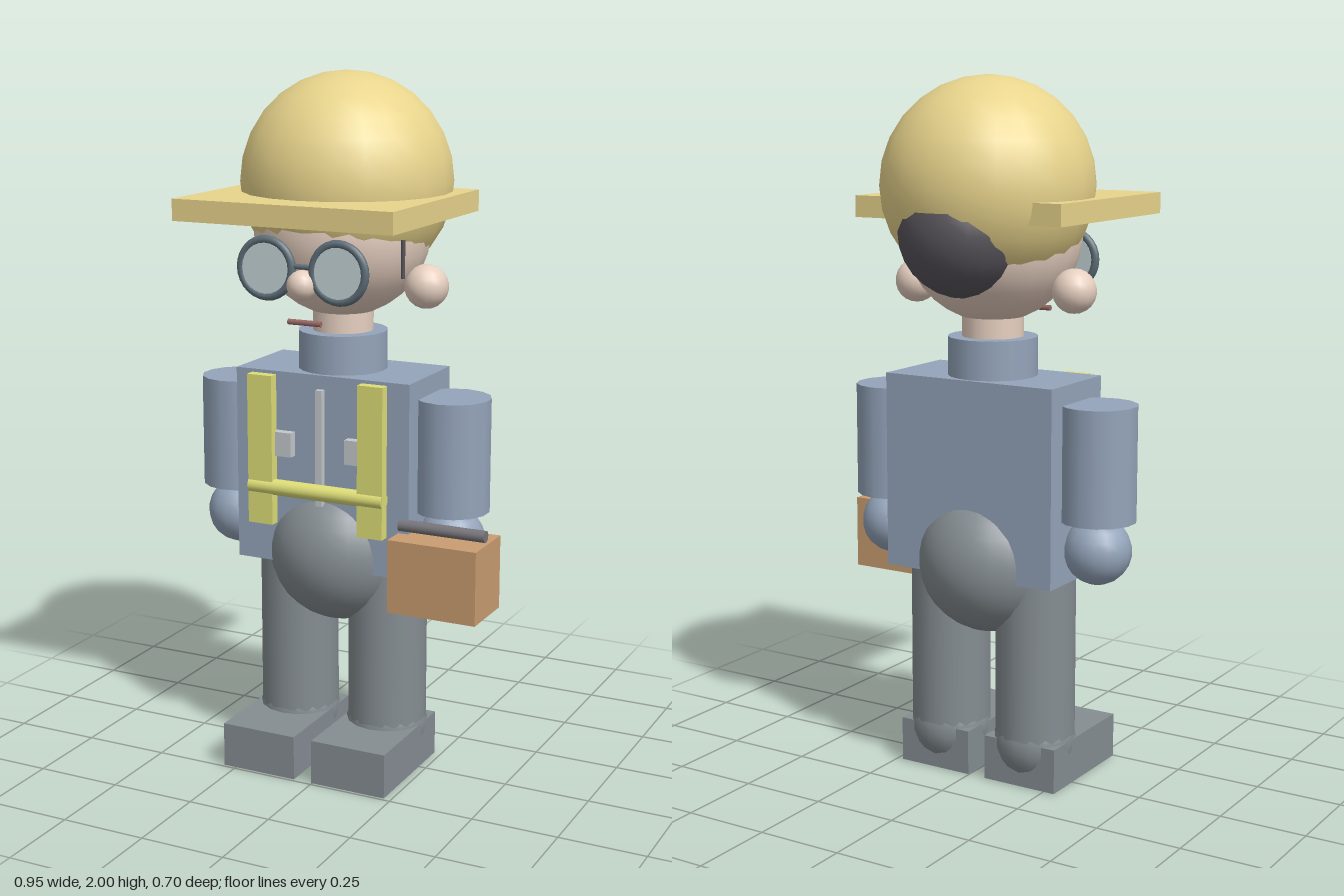
import * as THREE from 'three';

const CX = -0.028; // the body's axis
const CZ = -0.02;

const mat = (color) => new THREE.MeshStandardMaterial({ color });

export function createModel() {
  const model = new THREE.Group();
  const yellow = mat(0xe8d48c), skin = mat(0xe6cfc0), blue = mat(0x94a4ba);
  const grey = mat(0x858d92), dark = mat(0x57545a), frame = mat(0x5f6e78);
  const glass = mat(0xc4d4d6), vest = mat(0xdede78), metal = mat(0xc4c8cc);
  const tan = mat(0xc99c70), lip = mat(0x9a6a66), steel = mat(0x77757a);

  const add = (name, geometry, material, x, y, z) => {
    const mesh = new THREE.Mesh(geometry, material);
    mesh.name = name;
    mesh.position.set(x, y, z);
    model.add(mesh);
    return mesh;
  };
  const ball = (name, r, material, x, y, z, seg = 20) =>
    add(name, new THREE.SphereGeometry(r, seg, Math.round(seg * 0.7)), material, x, y, z);
  const rod = (name, r, h, material, x, y, z, seg = 16) =>
    add(name, new THREE.CylinderGeometry(r, r, h, seg), material, x, y, z);
  const box = (name, w, h, d, material, x, y, z) =>
    add(name, new THREE.BoxGeometry(w, h, d), material, x, y, z);

  // Head, hair and hard hat
  ball('head', 0.25, skin, CX, 1.57, CZ, 24);
  ball('hair', 0.18, dark, CX, 1.58, -0.17);
  ball('hatDome', 0.3, yellow, CX, 1.7, -0.045);
  box('hatBrim', 0.655, 0.06, 0.57, yellow, CX, 1.64, 0.07);
  ball('nose', 0.042, skin, CX, 1.44, 0.23, 14);
  rod('mouth', 0.008, 0.1, lip, CX, 1.335, 0.215, 8).rotation.z = Math.PI / 2;

  // Glasses
  for (const s of [-1, 1]) {
    const x = CX + s * 0.11;
    add(s > 0 ? 'leftRim' : 'rightRim',
      new THREE.TorusGeometry(0.078, 0.012, 10, 28), frame, x, 1.48, 0.228);
    rod(s > 0 ? 'leftLens' : 'rightLens', 0.07, 0.018, glass, x, 1.48, 0.228, 24)
      .rotation.x = Math.PI / 2;
  }
  rod('glassesBridge', 0.007, 0.05, frame, CX, 1.49, 0.228, 8).rotation.z = Math.PI / 2;
  rod('glassesTemple', 0.006, 0.105, dark, 0.206, 1.507, 0.087, 8);

  // Neck and torso
  rod('neck', 0.087, 0.16, skin, CX, 1.27, CZ, 20);
  rod('collar', 0.127, 0.11, blue, CX, 1.225, CZ, 20);
  box('torso', 0.54, 0.56, 0.277, blue, CX, 0.89, CZ);
  ball('hips', 0.215, grey, CX, 0.64, CZ, 24);

  // Limbs, ears and vest straps, one pair per pass
  for (const s of [-1, 1]) {
    const side = s > 0 ? 'left' : 'right';
    ball(side + 'Ear', 0.062, skin, CX + s * 0.258, 1.42, -0.017, 16);
    rod(side + 'Arm', 0.108, 0.325, blue, CX + s * 0.341, 0.953, CZ, 14);
    ball(side + 'Hand', 0.096, blue, CX + s * 0.341, 0.705, CZ, 16);
    rod(side + 'Leg', 0.115, 0.57, grey, CX + s * 0.143, 0.415, CZ, 20);
    ball(side + 'Ankle', 0.119, grey, CX + s * 0.143, 0.119, CZ, 16);
    box(side + 'Shoe', 0.23, 0.13, 0.355, grey, CX + s * 0.143, 0.067, 0.067);
    box(side + 'VestStrap', 0.077, 0.433, 0.03, vest, CX + s * 0.172, 0.948, 0.15);
    box(side + 'Pocket', 0.08, 0.07, 0.03, metal, CX + s * 0.124, 0.965, 0.13);
  }
  rod('vestBelt', 0.023, 0.42, vest, CX, 0.84, 0.15).rotation.z = Math.PI / 2;
  box('zipper', 0.02, 0.335, 0.025, metal, CX, 0.963, 0.125);

  // Toolbox at the left hand
  box('toolbox', 0.263, 0.21, 0.178, tan, 0.343, 0.64, 0.102);
  rod('toolboxHandle', 0.017, 0.258, steel, 0.343, 0.768, 0.114, 12).rotation.z = Math.PI / 2;

  return model;
}
